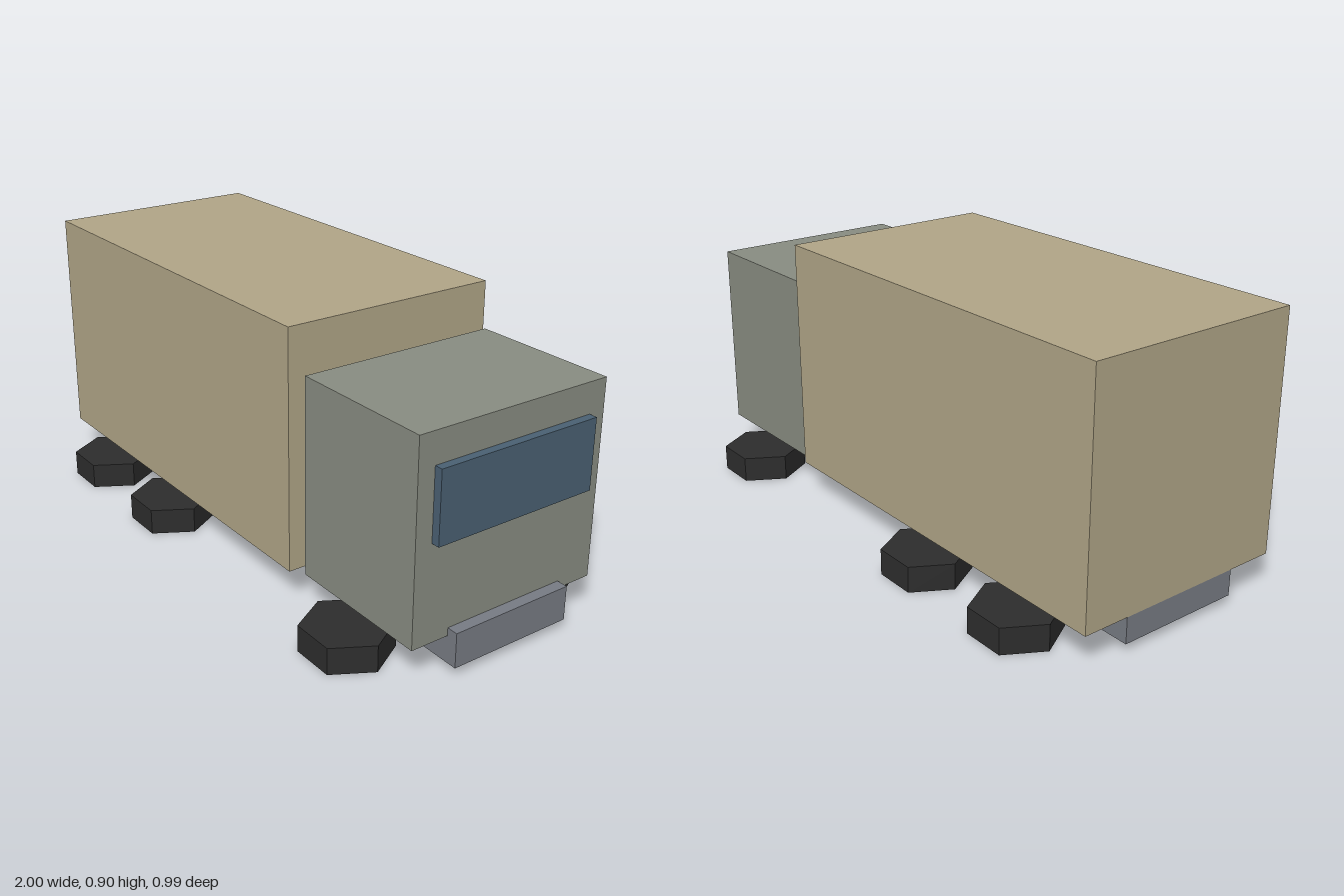
import * as THREE from 'three';

const material = (name, color, extra = {}) => {
  const m = new THREE.MeshStandardMaterial({ color, ...extra });
  m.name = name;
  return m;
};

export function createModel() {
  const tan = material('tan cargo', 0xb0a587);
  const sage = material('sage cab', 0x888c81);
  const steel = material('steel chassis', 0x777b83);
  const glass = material('blue glass', 0x4a6072);
  const rubber = material('black rubber', 0x2d2d2d, { side: THREE.DoubleSide, flatShading: true });

  const truck = new THREE.Group();
  truck.name = 'truck';

  // Box from its x and y limits, centred on z
  const block = (name, mat, x0, x1, y0, y1, depth) => {
    const mesh = new THREE.Mesh(new THREE.BoxGeometry(x1 - x0, y1 - y0, depth), mat);
    mesh.position.set((x0 + x1) / 2, (y0 + y1) / 2, 0);
    mesh.name = name;
    truck.add(mesh);
  };

  block('chassis', steel, -0.999, 1, 0.03, 0.143, 0.428);
  block('cargoBox', tan, -1, 0.425, 0.117, 0.9, 0.746);
  block('cab', sage, 0.465, 0.963, 0.117, 0.76, 0.686);
  block('windshield', glass, 0.96, 0.99, 0.431, 0.66, 0.572);

  // Wheels: six-sided upright drums, closed on top and open below
  const radius = 0.143, height = 0.087;
  const wallGeometry = new THREE.CylinderGeometry(radius, radius, height, 6, 1, true, Math.PI / 6);
  const capGeometry = new THREE.CircleGeometry(radius, 6).rotateX(-Math.PI / 2);
  for (const x of [-0.717, -0.287, 0.713]) {
    for (const side of [1, -1]) {
      const wheel = new THREE.Group();
      wheel.name = 'wheel';
      const wall = new THREE.Mesh(wallGeometry, rubber);
      wall.name = 'wheelWall';
      const cap = new THREE.Mesh(capGeometry, rubber);
      cap.name = 'wheelCap';
      cap.position.y = height / 2;
      wheel.add(wall, cap);
      wheel.position.set(x, height / 2, side * 0.372);
      truck.add(wheel);
    }
  }
  return truck;
}
